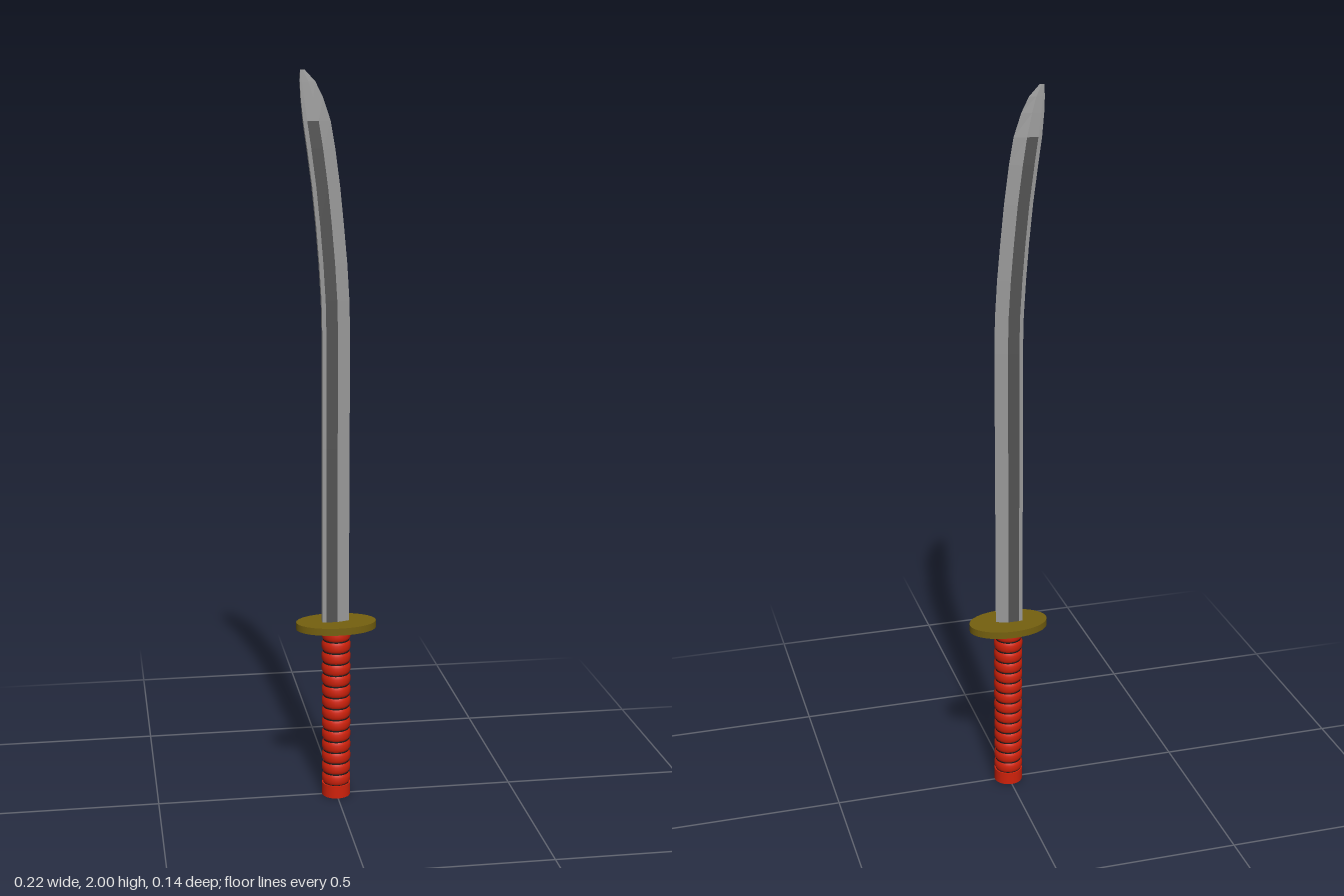
import * as THREE from 'three';

const mat = (name, color) => Object.assign(new THREE.MeshStandardMaterial({ color }), { name });

// Blade stations: height, spine x, cutting edge x, thickness scale
const STATIONS = [
  [0.5, -0.039, 0.036, 1], [1.0, -0.039, 0.037, 1], [1.3, -0.038, 0.038, 1],
  [1.4, -0.04, 0.036, 1], [1.5, -0.046, 0.03, 1], [1.6, -0.054, 0.021, 1],
  [1.7, -0.064, 0.011, 1], [1.8, -0.077, -0.002, 1], [1.87, -0.087, -0.014, 0.9],
  [1.93, -0.093, -0.034, 0.55], [1.97, -0.095, -0.054, 0.3], [2.0, -0.094, -0.082, 0.08],
];
// Cross-section: fraction from spine to edge, half thickness
const SECTION = [
  [1, 0], [0.55, 0.011], [0.14, 0.011], [0, 0.009],
  [0, -0.009], [0.14, -0.011], [0.55, -0.011],
];
const GROOVE_END = 8; // station where the dark band stops

function bladeGeometry() {
  const rings = STATIONS.map(([y, xs, xe, t]) =>
    SECTION.map(([f, z]) => [xs + (xe - xs) * f, y, z * t]));
  const steel = [], dark = [];
  const n = SECTION.length;
  for (let i = 0; i < rings.length - 1; i++) {
    for (let j = 0; j < n; j++) {
      const k = (j + 1) % n;
      const a = rings[i][j], b = rings[i][k], c = rings[i + 1][j], d = rings[i + 1][k];
      const banded = (j === 1 || j === 5) && i < GROOVE_END;
      (banded ? dark : steel).push(...b, ...a, ...c, ...b, ...c, ...d);
    }
  }
  // Tip cap
  const top = rings[rings.length - 1];
  for (let j = 1; j < n - 1; j++) steel.push(...top[0], ...top[j + 1], ...top[j]);

  const g = new THREE.BufferGeometry();
  g.setAttribute('position', new THREE.Float32BufferAttribute([...steel, ...dark], 3));
  g.addGroup(0, steel.length / 3, 0);
  g.addGroup(steel.length / 3, dark.length / 3, 1);
  g.computeVertexNormals();
  return g;
}

export function createModel() {
  const model = new THREE.Group();
  model.name = 'sword';
  const steel = mat('steel', 0x999999);
  const darkSteel = mat('darkSteel', 0x525252);
  const brass = mat('brass', 0x75600f);
  const red = mat('redWrap', 0xd0210a);
  const black = mat('blackCore', 0x1c1c1c);

  const add = (name, geometry, material, y = 0, parent = model) => {
    const m = new THREE.Mesh(geometry, material);
    m.name = name;
    m.position.y = y;
    parent.add(m);
    return m;
  };

  add('blade', bladeGeometry(), [steel, darkSteel]);

  // Oval hand guard
  add('guard', new THREE.CylinderGeometry(1, 1, 0.02, 48), brass, 0.5).scale.set(0.111, 1, 0.069);

  // Grip: dark core showing in the gaps between red wrap rings
  const grip = new THREE.Group();
  grip.name = 'grip';
  model.add(grip);
  add('gripCore', new THREE.CylinderGeometry(0.036, 0.036, 0.46, 32), black, 0.26, grip);
  add('pommel', new THREE.CylinderGeometry(0.04, 0.04, 0.036, 32), red, 0.018, grip);
  const count = 14, pitch = 0.454 / count, h = pitch - 0.004;
  const profile = [[0.036, -h / 2], [0.04, -h / 4], [0.04, h / 4], [0.036, h / 2]]
    .map(([r, y]) => new THREE.Vector2(r, y));
  const ring = new THREE.LatheGeometry(profile, 32);
  for (let i = 0; i < count; i++) add('wrapRing', ring, red, 0.036 + pitch * (i + 0.5), grip);

  return model;
}
